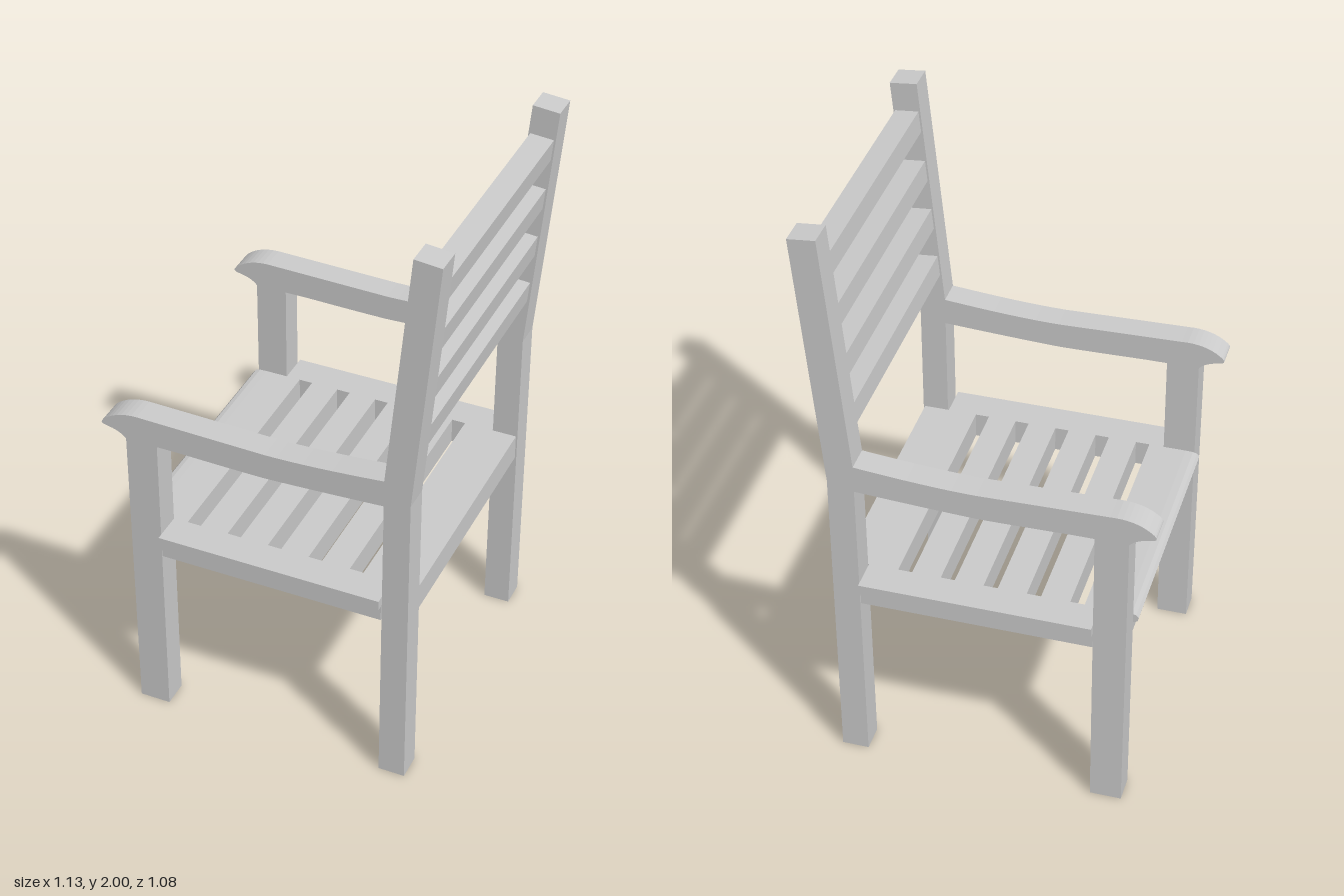
import * as THREE from 'three';

const material = new THREE.MeshStandardMaterial({ color: 0xcccccc, flatShading: true });
const LEG_IN = 0.43, LEG_OUT = 0.52;

const toShape = (pts) => new THREE.Shape(pts.map(([x, y]) => new THREE.Vector2(x, y)));

export function createModel() {
  const group = new THREE.Group();

  const add = (name, geometry) => {
    const mesh = new THREE.Mesh(geometry, material);
    mesh.name = name;
    group.add(mesh);
  };

  // Side profile (x, y) extruded from z0 to z1
  const addProfile = (name, shape, z0, z1) => {
    const g = new THREE.ExtrudeGeometry(shape, { depth: z1 - z0, bevelEnabled: false, curveSegments: 8 });
    add(name, g.translate(0, 0, z0));
  };

  // Same profile on both sides of the chair
  const addPair = (name, shape) => {
    addProfile('left' + name, shape, -LEG_OUT, -LEG_IN);
    addProfile('right' + name, shape, LEG_IN, LEG_OUT);
  };

  // Front legs
  addPair('FrontLeg', toShape([[-0.48, 0], [-0.375, 0], [-0.372, 1.1], [-0.48, 1.1]]));

  // Back posts, leaning backwards above the arms
  addPair('BackPost', toShape([[0.392, 0], [0.482, 0], [0.484, 1.12], [0.565, 1.991], [0.475, 2], [0.397, 1.19]]));

  // Arms with a sagging middle and a curled front tip
  const arm = new THREE.Shape();
  arm.moveTo(0.4, 1.095);
  arm.lineTo(0.4, 1.19);
  arm.quadraticCurveTo(0.15, 1.165, 0, 1.165);
  arm.lineTo(-0.42, 1.175);
  arm.quadraticCurveTo(-0.5, 1.18, -0.55, 1.14);
  arm.quadraticCurveTo(-0.578, 1.118, -0.55, 1.113);
  arm.quadraticCurveTo(-0.5, 1.105, -0.48, 1.08);
  arm.lineTo(-0.3, 1.08);
  arm.quadraticCurveTo(-0.1, 1.075, 0, 1.075);
  arm.quadraticCurveTo(0.15, 1.08, 0.4, 1.095);
  addPair('Arm', arm);

  // Back slats, parallel to the leaning posts
  const lean = (y) => 0.402 + (y - 1.18) * 0.0965;
  for (let i = 0; i < 4; i++) {
    const y = 1.28 + i * 0.18, d = 0.079;
    const slat = toShape([
      [lean(y + 0.007), y + 0.007], [lean(y) + d, y],
      [lean(y + 0.074) + d, y + 0.074], [lean(y + 0.081), y + 0.081],
    ]);
    addProfile('backSlat' + (i + 1), slat, -LEG_IN, LEG_IN);
  }

  // Seat layers: notched round the legs and cut by five slots
  const addSeatLayer = (name, front, halfWidth, y0, y1) => {
    const half = [[0.478, LEG_IN], [0.392, LEG_IN], [0.392, halfWidth], [-0.372, halfWidth], [-0.372, LEG_IN], [front, LEG_IN]];
    const mirrored = half.map(([x, z]) => [x, -z]).reverse();
    const shape = toShape([...half, ...mirrored]);
    for (let i = 0; i < 5; i++) {
      const x0 = -0.323 + i * 0.1425, x1 = x0 + 0.047;
      shape.holes.push(toShape([[x0, -LEG_IN], [x1, -LEG_IN], [x1, LEG_IN], [x0, LEG_IN]]));
    }
    const g = new THREE.ExtrudeGeometry(shape, { depth: y1 - y0, bevelEnabled: false });
    add(name, g.rotateX(-Math.PI / 2).translate(0, y0, 0));
  };
  addSeatLayer('seatFrame', -0.475, LEG_OUT, 0.64, 0.695);
  addSeatLayer('seatTop', -0.45, 0.54, 0.695, 0.73);

  // Rounded front lip of the seat
  addProfile('seatLip', toShape([
    [-0.45, 0.73], [-0.475, 0.729], [-0.49, 0.725], [-0.498, 0.715],
    [-0.495, 0.702], [-0.485, 0.695], [-0.45, 0.695],
  ]), -LEG_IN, LEG_IN);

  return group;
}
